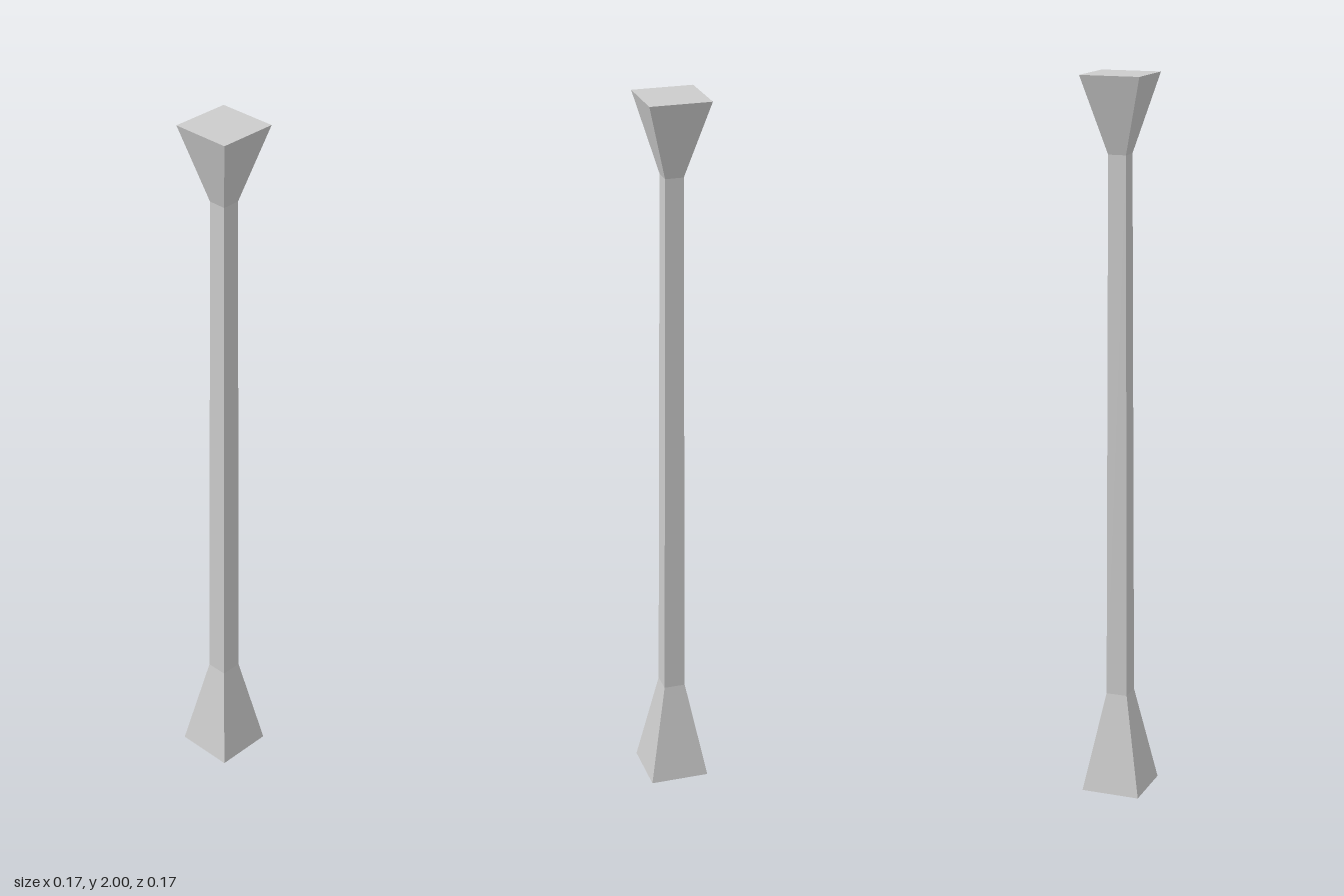
import * as THREE from 'three';

// Square frustum between two heights, given the half-widths of its ends
function squareFrustum(name, y0, y1, half0, half1, openEnded, material) {
  const geometry = new THREE.CylinderGeometry(
    half1 * Math.SQRT2, half0 * Math.SQRT2, y1 - y0, 4, 1, openEnded);
  geometry.rotateY(Math.PI / 4);
  geometry.translate(0, (y0 + y1) / 2, 0);
  const mesh = new THREE.Mesh(geometry, material);
  mesh.name = name;
  return mesh;
}

export function createModel() {
  const group = new THREE.Group();
  group.name = 'column';
  const material = new THREE.MeshStandardMaterial({ color: 0xcccccc, flatShading: true });

  const baseHalf = 0.083, lowHalf = 0.03, highHalf = 0.025;
  const baseTop = 0.28, capitalBottom = 1.79;

  // Flared foot, slightly tapering shaft and flared head
  group.add(
    squareFrustum('base', 0, baseTop, baseHalf, lowHalf, false, material),
    squareFrustum('shaft', baseTop, capitalBottom, lowHalf, highHalf, true, material),
    squareFrustum('capital', capitalBottom, 2, highHalf, baseHalf, false, material),
  );
  return group;
}
